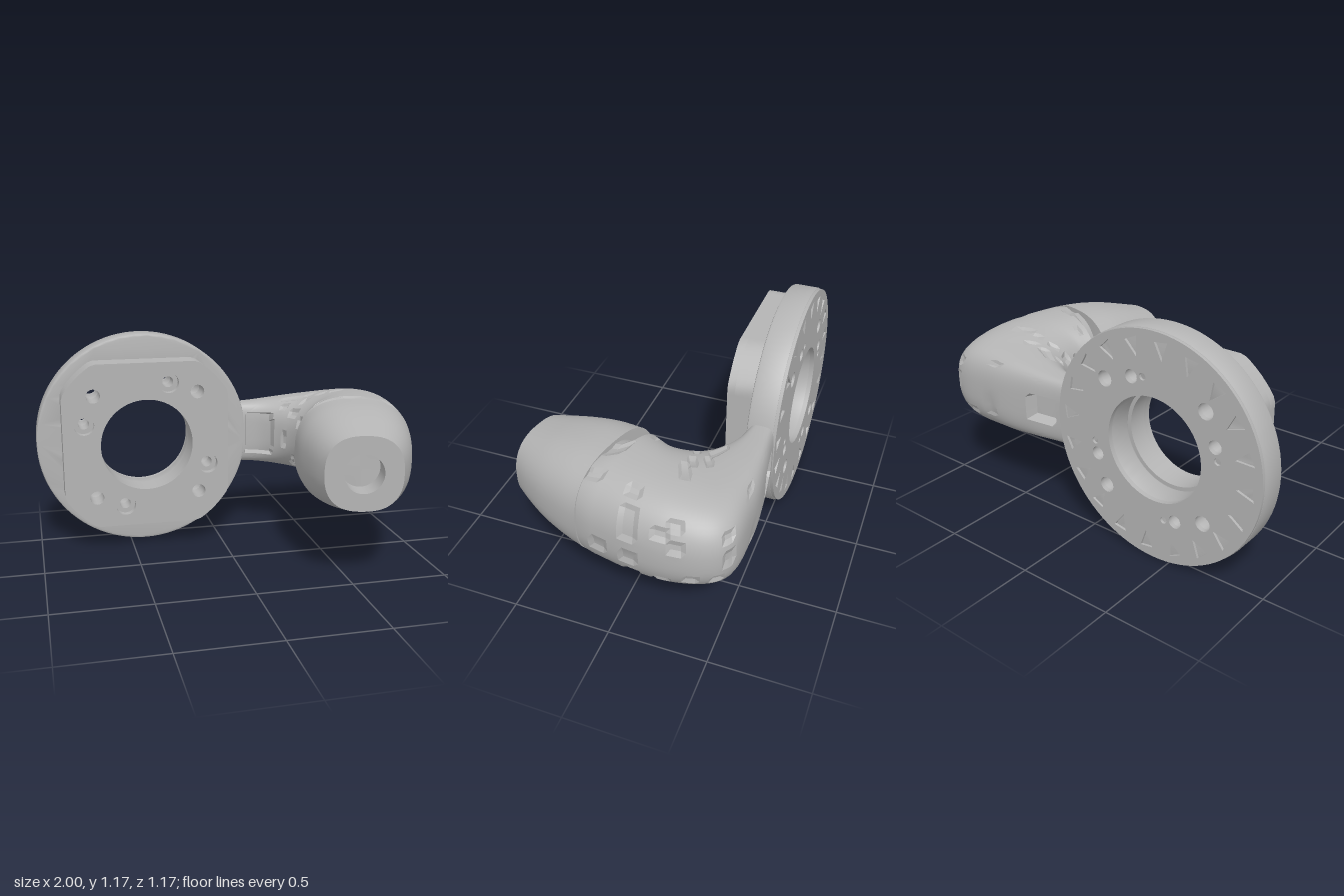
import * as THREE from 'three';
import { toCreasedNormals } from 'three/addons/utils/BufferGeometryUtils.js';

const CX = -0.415, CY = 0.59;
const V = (x, y, z) => new THREE.Vector3(x, y, z);

// bolt positions relative to the flange centre
const turned = (x, y) => [[x, y], [-y, x], [-x, -y], [y, -x]];
const screwHoles = turned(0.125, 0.335);
const plainHoles = turned(0.28, 0.282);
const pinHoles = turned(0.06, 0.35);

const circleHole = (x, y, r, n = 16) => {
  const pts = [];
  for (let i = 0; i < n; i++) {
    const a = (i / n) * Math.PI * 2;
    pts.push(new THREE.Vector2(x + r * Math.cos(a), y + r * Math.sin(a)));
  }
  return new THREE.Path(pts);
};

// outline of a disc, optionally cut by a square of half width w
function outline(r, w = Infinity) {
  const pts = [];
  for (let i = 0; i < 96; i++) {
    const a = (i / 96) * Math.PI * 2, k = (v) => THREE.MathUtils.clamp(v, -w, w);
    pts.push(new THREE.Vector2(k(r * Math.cos(a)), k(r * Math.sin(a))));
  }
  return new THREE.Shape(pts);
}

function slab(name, mat, shape, holes, z0, z1, bevel = 0) {
  shape.holes.push(...holes);
  const geo = new THREE.ExtrudeGeometry(shape, {
    depth: z1 - z0 - bevel, steps: 1, curveSegments: 32,
    bevelEnabled: bevel > 0, bevelThickness: bevel, bevelSize: bevel, bevelOffset: -bevel, bevelSegments: 2,
  });
  const mesh = new THREE.Mesh(toCreasedNormals(geo, 0.6), mat);
  mesh.position.set(CX, CY, z0);
  mesh.name = name;
  return mesh;
}

// smooth run of sections [innerX, innerZ, outerX, outerZ, halfHeight, squareness]
function sampleSections(rows, count) {
  const inner = new THREE.CatmullRomCurve3(rows.map((s) => V(s[0], s[4], s[1])));
  const outer = new THREE.CatmullRomCurve3(rows.map((s) => V(s[2], s[5], s[3])));
  return Array.from({ length: count + 1 }, (_, i) => {
    const a = inner.getPoint(i / count), b = outer.getPoint(i / count);
    return [a.x, a.z, b.x, b.z, a.y, b.y];
  });
}

// skin superellipse rings through the sections; tweak may move a point
function loft(sections, tweak, crease) {
  const N = 64, pos = [], idx = [];
  sections.forEach(([ix, iz, ox, oz, h, n], i) => {
    const mid = V((ix + ox) / 2, CY, (iz + oz) / 2);
    const half = V((ox - ix) / 2, 0, (oz - iz) / 2);
    const pw = (v) => Math.sign(v) * Math.pow(Math.abs(v), 2 / n);
    for (let j = 0; j < N; j++) {
      const t = (j / N) * Math.PI * 2;
      const p = mid.clone().addScaledVector(half, pw(Math.cos(t)));
      p.y += h * pw(Math.sin(t));
      if (tweak) tweak(p, mid, i, j, Math.cos(t));
      pos.push(p.x, p.y, p.z);
      if (i === sections.length - 1) continue;
      const a = i * N + j, b = i * N + ((j + 1) % N);
      idx.push(a, b, a + N, b, b + N, a + N);
    }
  });
  const geo = new THREE.BufferGeometry();
  geo.setAttribute('position', new THREE.Float32BufferAttribute(pos, 3));
  geo.setIndex(idx);
  return toCreasedNormals(geo, crease);
}

const hash = (a, b) => {
  const s = Math.sin(a * 127.1 + b * 311.7) * 43758.5453;
  return s - Math.floor(s);
};

// arm pocket, back slot and chipped grip texture
function carve(p, mid, i, j, side) {
  const dy = Math.abs(p.y - CY);
  if (side < 0 && p.x > 0.17 && p.x < 0.31 && dy < 0.115) p.z -= 0.04;
  if (side > 0 && p.x > 0.2 && p.x < 0.37 && dy < 0.062) p.z += 0.05;
  if (mid.x > 0.45 && hash(Math.floor(i / 3), Math.floor(j / 2)) < 0.13) {
    p.lerp(mid, 0.045);
  }
}

export function createModel() {
  const group = new THREE.Group();
  const grey = new THREE.MeshStandardMaterial({ color: 0xb4b4b4 });
  grey.name = 'grey';

  const drill = (list, r) => list.map(([x, y]) => circleHole(x, y, r));
  const bore = (r) => circleHole(0, 0, r, 64);

  // round flange, its back layer holding a ring of shallow wedge notches
  const notches = [];
  for (let k = 0; k < 20; k++) {
    const a = (k / 20) * Math.PI * 2 + 0.1;
    const at = (r, d) => new THREE.Vector2(r * Math.cos(a + d), r * Math.sin(a + d));
    notches.push(new THREE.Path([at(0.45, 0), at(0.545, 0.04), at(0.53, -0.09)]));
  }
  group.add(slab('flangeBack', grey, outline(0.58),
    [bore(0.265), ...drill(screwHoles, 0.034), ...drill(plainHoles, 0.04), ...drill(pinHoles, 0.018), ...notches],
    -0.55, -0.525));
  group.add(slab('flangeDisc', grey, outline(0.585),
    [bore(0.265), ...drill(screwHoles, 0.034), ...drill(plainHoles, 0.04)], -0.525, -0.4, 0.012));

  // flat-sided mounting plate with counterbored screw holes
  group.add(slab('mountingPlate', grey, outline(0.53, 0.45),
    [bore(0.25), ...drill(screwHoles, 0.03), ...drill(plainHoles, 0.038)], -0.4, -0.3));
  group.add(slab('mountingPlateFace', grey, outline(0.53, 0.45),
    [bore(0.25), ...drill(screwHoles, 0.055), ...drill(plainHoles, 0.038)], -0.3, -0.26));

  // arm bending through the elbow into the grip
  const body = sampleSections([
    [0.08, -0.41, 0.08, -0.54, 0.17, 4],
    [0.16, -0.4, 0.18, -0.545, 0.172, 4],
    [0.25, -0.37, 0.38, -0.57, 0.185, 3.6],
    [0.32, -0.31, 0.64, -0.588, 0.205, 3],
    [0.365, -0.24, 0.88, -0.565, 0.225, 2.7],
    [0.39, -0.17, 0.97, -0.46, 0.245, 2.5],
    [0.4, -0.1, 0.998, -0.3, 0.26, 2.5],
    [0.385, -0.07, 0.985, -0.1, 0.27, 2.5],
    [0.365, -0.04, 0.945, 0.1, 0.276, 2.5],
  ], 60);
  body.push([0.44, 0.0, 0.925, 0.155, 0.268, 2.5], [0.44, 0.06, 0.915, 0.18, 0.26, 2.5]);
  const arm = new THREE.Mesh(loft(body, carve, 0.25), grey);
  arm.name = 'armAndElbow';
  group.add(arm);

  // tapered end cap with a blind socket in its tip
  const cap = [
    [0.62, 0.09, 0.622, 0.091, 0.001, 2.5],
    ...sampleSections([
      [0.332, 0.022, 0.928, 0.165, 0.277, 2.5],
      [0.313, 0.15, 0.885, 0.28, 0.268, 2.5],
      [0.312, 0.28, 0.83, 0.4, 0.245, 2.5],
      [0.318, 0.4, 0.77, 0.5, 0.215, 2.5],
      [0.332, 0.5, 0.712, 0.58, 0.19, 2.5],
    ], 16),
    [0.425, 0.52, 0.62, 0.56, 0.1, 2],
    [0.45, 0.4, 0.645, 0.44, 0.1, 2],
    [0.547, 0.42, 0.548, 0.42, 0.001, 2],
  ];
  const end = new THREE.Mesh(loft(cap, null, 0.5), grey);
  end.name = 'gripEndCap';
  group.add(end);

  return group;
}
